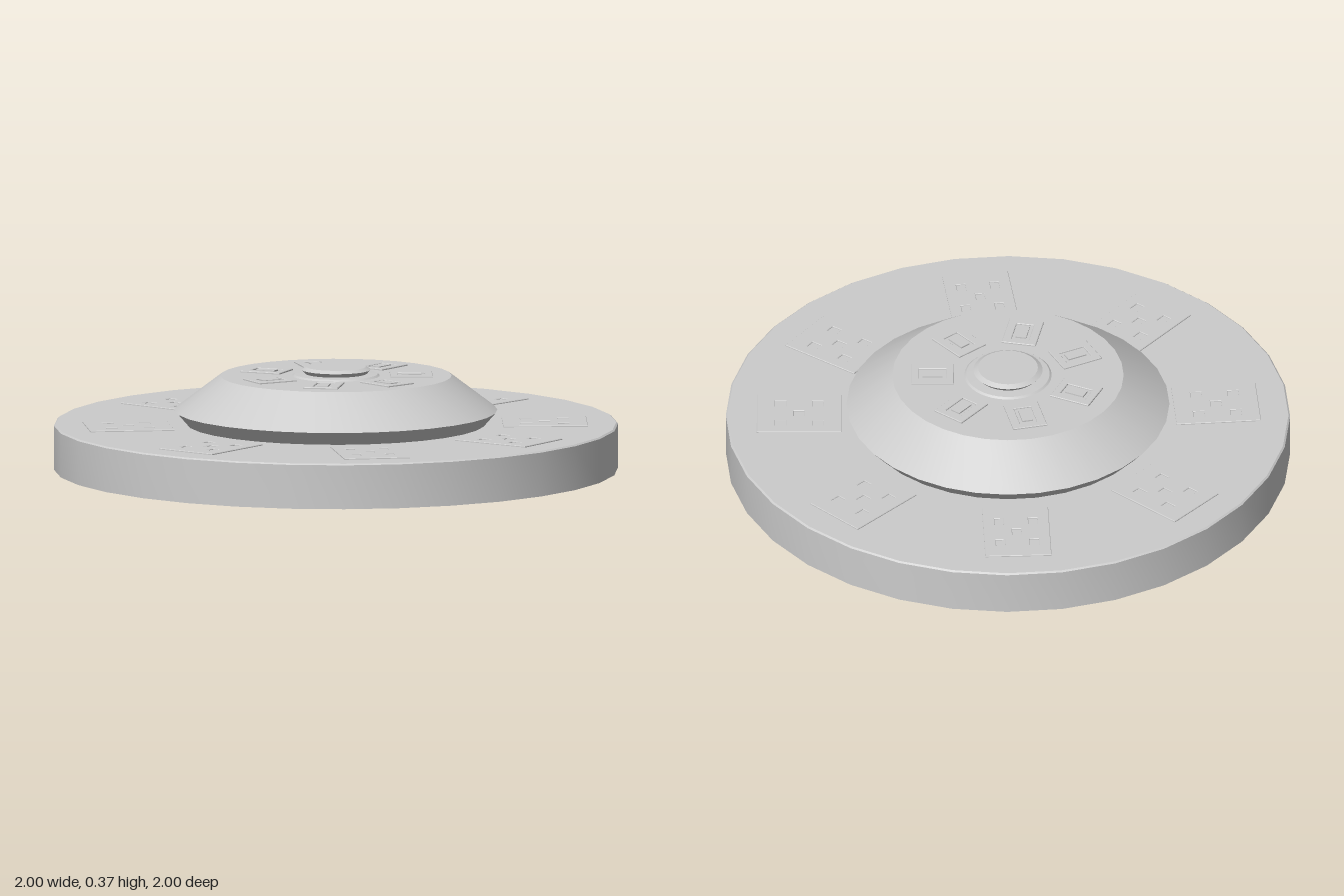
import * as THREE from 'three';
import { toCreasedNormals } from 'three/addons/utils/BufferGeometryUtils.js';

const material = new THREE.MeshStandardMaterial({ color: 0xcccccc });
const shellMaterial = new THREE.MeshStandardMaterial({ color: 0xcccccc, side: THREE.DoubleSide });

function add(parent, name, geometry, mat = material) {
  const mesh = new THREE.Mesh(geometry, mat);
  mesh.name = name;
  parent.add(mesh);
  return mesh;
}

// Thin open shell turned around the y axis
function shell(parent, name, points) {
  const profile = points.map(([r, y]) => new THREE.Vector2(r, y));
  add(parent, name, toCreasedNormals(new THREE.LatheGeometry(profile, 32), 0.4), shellMaterial);
}

function box(parent, name, w, d, y0, y1) {
  add(parent, name, new THREE.BoxGeometry(w, y1 - y0, d)).position.y = (y0 + y1) / 2;
}

// Closed rectangle centred on (x, z)
function rectangle(Type, w, d, x = 0, z = 0) {
  return new Type([[-1, -1], [1, -1], [1, 1], [-1, 1]].map(
    ([a, b]) => new THREE.Vector2(x + a * w / 2, z + b * d / 2)));
}

// Flat plate with rectangular recesses, each given as [w, d, x, z]
function plate(parent, name, w, d, y0, y1, recesses) {
  const bevel = 0.002;
  const shape = rectangle(THREE.Shape, w - 2 * bevel, d - 2 * bevel);
  shape.holes = recesses.map((r) => rectangle(THREE.Path, ...r));
  const geometry = new THREE.ExtrudeGeometry(shape, {
    depth: y1 - y0 - bevel, bevelSize: bevel, bevelThickness: bevel, bevelSegments: 1,
  });
  geometry.rotateX(-Math.PI / 2);
  add(parent, name, geometry).position.y = y0;
}

// Copies of a part set around the centre, with the part's length pointing outward
function around(parent, name, count, step, radius, build) {
  for (let i = 0; i < count; i++) {
    const arm = new THREE.Group();
    arm.name = name + (i + 1);
    arm.rotation.y = i * step;
    const part = new THREE.Group();
    part.position.x = radius;
    build(part);
    arm.add(part);
    parent.add(arm);
  }
}

export function createModel() {
  const model = new THREE.Group();
  model.name = 'discStation';

  // Hollow outer disc, open underneath
  shell(model, 'outerDisc', [[1, 0], [1, 0.157], [0.994, 0.162], [0.53, 0.162]]);

  // Hollow raised dome with an undercut lower edge
  shell(model, 'dome', [[0.53, 0.162], [0.572, 0.21], [0.41, 0.333], [0.155, 0.333]]);

  // Central hub cap
  shell(model, 'hub', [[0.155, 0.333], [0.148, 0.339], [0.11, 0.341], [0.123, 0.355], [0.106, 0.365], [0, 0.365]]);

  // Large blocks sunk through the disc, with five recesses on top
  const fiveRecesses = [[-1, -1], [1, -1], [0, 0], [-1, 1], [1, 1]].map(
    ([a, b]) => [0.042, 0.036, a * 0.066, b * 0.06]);
  around(model, 'largeBlock', 8, 0.808, 0.74, (part) => {
    box(part, 'blockBody', 0.3, 0.235, 0.045, 0.163);
    plate(part, 'blockPlate', 0.3, 0.235, 0.162, 0.167, fiveRecesses);
  });

  // Small blocks sunk through the dome top, with a framed raised centre
  around(model, 'smallBlock', 7, 0.904, 0.267, (part) => {
    box(part, 'blockBody', 0.15, 0.123, 0.28, 0.334);
    plate(part, 'blockPlate', 0.15, 0.123, 0.333, 0.339, [[0.1, 0.066, 0, 0]]);
    box(part, 'blockCentre', 0.07, 0.038, 0.333, 0.339);
  });

  return model;
}
